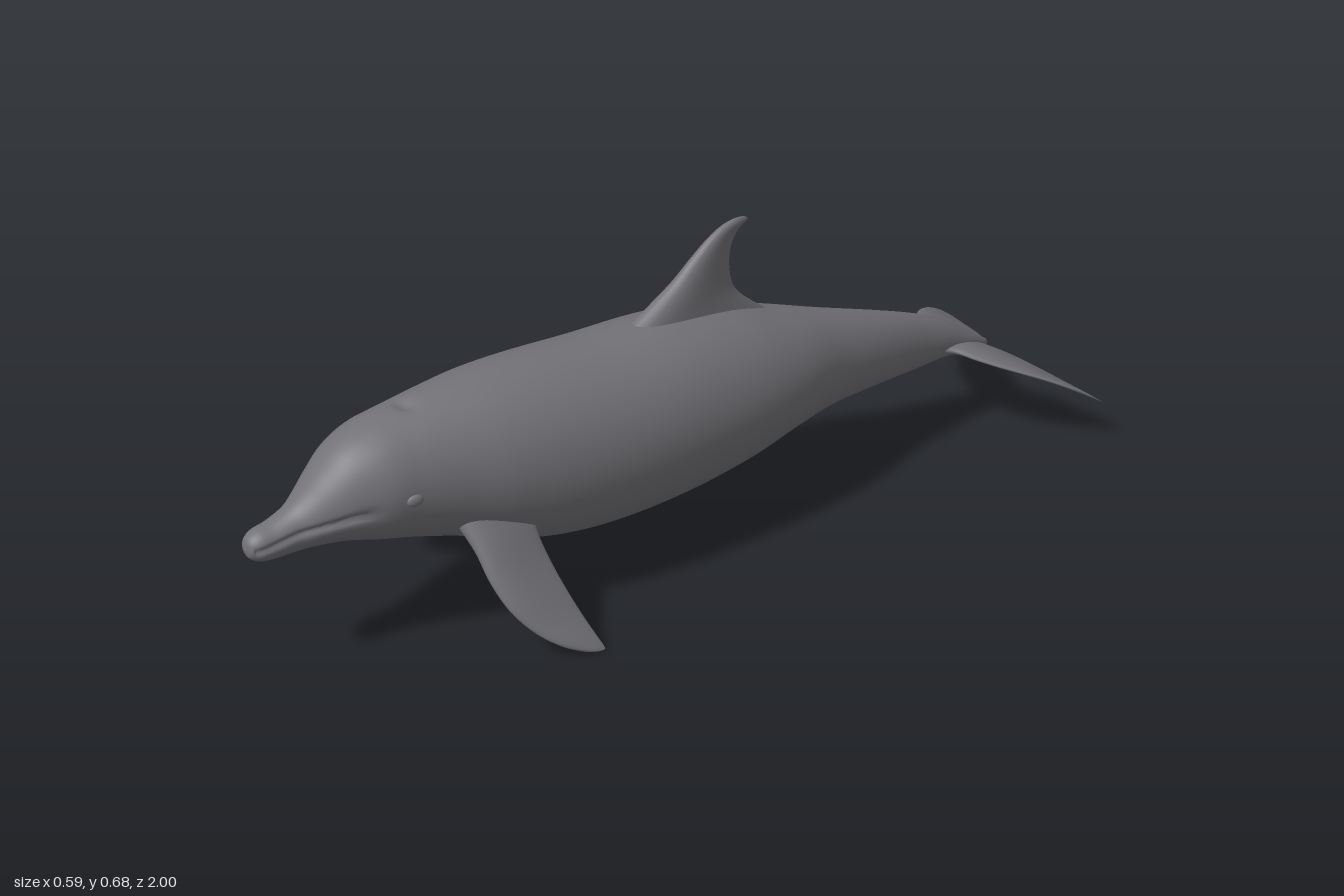
import * as THREE from 'three';

const skin = new THREE.MeshStandardMaterial({ color: 0x737277 });
skin.name = 'grey skin';

// Catmull-Rom through the rows of a table, all columns together
function refine(rows, steps) {
  const out = [];
  const at = (i) => rows[Math.min(Math.max(i, 0), rows.length - 1)];
  for (let i = 0; i < rows.length - 1; i++) {
    for (let s = 0; s < steps; s++) {
      const t = s / steps;
      out.push(rows[i].map((b, k) => {
        const a = at(i - 1)[k], c = at(i + 1)[k], d = at(i + 2)[k];
        return b + 0.5 * t * (c - a + t * (2 * a - 5 * b + 4 * c - d + t * (3 * (b - c) + d - a)));
      }));
    }
  }
  out.push(rows[rows.length - 1]);
  return out;
}

// Closed smooth skin over rings of [x, y, z], with capped ends, facing outward
function loft(name, rings) {
  const n = rings[0].length, pos = rings.flat(2), index = [];
  for (let r = 0; r < rings.length - 1; r++) {
    for (let i = 0; i < n; i++) {
      const a = r * n + i, b = r * n + (i + 1) % n;
      index.push(a, b, a + n, b, b + n, a + n);
    }
  }
  const last = (rings.length - 1) * n;
  for (let i = 1; i < n - 1; i++) {
    index.push(0, i + 1, i, last, last + i, last + i + 1);
  }
  // signed volume tells whether the winding has to be reversed
  const p = (i) => new THREE.Vector3().fromArray(pos, i * 3);
  let volume = 0;
  for (let i = 0; i < index.length; i += 3) {
    volume += p(index[i]).dot(p(index[i + 1]).cross(p(index[i + 2])));
  }
  if (volume < 0) index.reverse();
  const g = new THREE.BufferGeometry();
  g.setAttribute('position', new THREE.Float32BufferAttribute(pos, 3));
  g.setIndex(index);
  g.computeVertexNormals();
  const mesh = new THREE.Mesh(g, skin);
  mesh.name = name;
  return mesh;
}

// Teardrop outline: chord position 0 (leading) to 1 (trailing), and thickness -1 to 1
const foil = Array.from({ length: 28 }, (_, i) => {
  const a = (i / 28) * Math.PI * 2;
  return [(1 - Math.cos(a)) / 2, Math.sin(a) * (0.75 + 0.35 * Math.cos(a))];
});

// Body stations: z, bottom, top, half width
const bodyRows = [
  [1.0, 0.312, 0.318, 0.003], [0.994, 0.296, 0.336, 0.02], [0.975, 0.284, 0.349, 0.032],
  [0.94, 0.28, 0.357, 0.037], [0.9, 0.28, 0.375, 0.042], [0.87, 0.28, 0.4, 0.054],
  [0.835, 0.277, 0.436, 0.07], [0.79, 0.27, 0.475, 0.09], [0.73, 0.253, 0.499, 0.112],
  [0.66, 0.234, 0.511, 0.122], [0.57, 0.205, 0.522, 0.138], [0.47, 0.168, 0.529, 0.16],
  [0.35, 0.13, 0.528, 0.175], [0.2, 0.113, 0.52, 0.181], [0.02, 0.118, 0.515, 0.176],
  [-0.14, 0.14, 0.488, 0.16], [-0.27, 0.168, 0.447, 0.132], [-0.4, 0.18, 0.403, 0.09],
  [-0.55, 0.181, 0.353, 0.061], [-0.66, 0.181, 0.313, 0.043], [-0.74, 0.184, 0.276, 0.035],
  [-0.81, 0.176, 0.23, 0.026], [-0.87, 0.168, 0.188, 0.008],
];

function buildBody() {
  const sides = 72;
  return loft('body', refine(bodyRows, 8).map(([z, low, high, w]) => {
    const mid = (low + high) / 2, h = (high - low) / 2;
    return Array.from({ length: sides }, (_, i) => {
      const a = (i / sides) * Math.PI * 2;
      let x = Math.cos(a) * w, y = mid + Math.sin(a) * h;
      // mouth crease along the beak
      if (z > 0.75 && z < 0.99) {
        const line = 0.318 + (0.98 - z) * 0.2;
        const fade = Math.min(1, (z - 0.75) / 0.05);
        x *= 1 - 0.15 * fade * Math.exp(-(((y - line) / 0.007) ** 2));
      }
      // blowhole dent
      if (y > mid) y -= 0.012 * Math.exp(-((x / 0.022) ** 2) - (((z - 0.635) / 0.014) ** 2));
      return [x, y, z];
    });
  }));
}

// Dorsal fin stations: y, leading z, trailing z, half thickness
function buildDorsalFin() {
  const rows = [
    [0.43, 0.2, -0.28, 0.046], [0.485, 0.15, -0.205, 0.042], [0.53, 0.075, -0.16, 0.035],
    [0.58, 0.0, -0.147, 0.026], [0.625, -0.052, -0.15, 0.019], [0.657, -0.092, -0.167, 0.014],
    [0.676, -0.125, -0.192, 0.01], [0.685, -0.155, -0.182, 0.003],
  ];
  return loft('dorsalFin', refine(rows, 5).map(([y, lead, trail, t]) =>
    foil.map(([c, s]) => [s * t, y, lead + (trail - lead) * c])));
}

// Flipper stations: x, y, leading z, trailing z, half thickness
function buildFlipper(side) {
  const rows = [
    [0.09, 0.28, 0.59, 0.41, 0.036], [0.137, 0.225, 0.573, 0.428, 0.026],
    [0.175, 0.168, 0.564, 0.422, 0.021], [0.212, 0.115, 0.545, 0.41, 0.017],
    [0.245, 0.068, 0.51, 0.396, 0.013], [0.272, 0.033, 0.466, 0.384, 0.01],
    [0.289, 0.011, 0.42, 0.376, 0.006], [0.295, 0.003, 0.39, 0.375, 0.002],
  ];
  const name = side > 0 ? 'leftFlipper' : 'rightFlipper';
  return loft(name, refine(rows, 5).map(([x, y, lead, trail, t]) =>
    foil.map(([c, s]) => [side * (x + s * t * 0.82), y + s * t * 0.57, lead + (trail - lead) * c])));
}

// Fluke stations: x, leading z, trailing z, half thickness; the blade droops toward the back
function buildFlukes() {
  const half = [
    [0, -0.68, -0.868, 0.021], [0.045, -0.738, -0.908, 0.015], [0.09, -0.757, -0.935, 0.012],
    [0.135, -0.782, -0.951, 0.01], [0.175, -0.817, -0.964, 0.008], [0.21, -0.862, -0.978, 0.007],
    [0.238, -0.915, -0.991, 0.005], [0.254, -0.968, -0.998, 0.002],
  ];
  const mirrored = half.slice(1).reverse().map(([x, ...rest]) => [-x, ...rest]);
  return loft('tailFlukes', refine([...mirrored, ...half], 5).map(([x, lead, trail, t]) =>
    foil.map(([c, s]) => {
      const z = lead + (trail - lead) * c, d = -0.72 - z;
      return [x, 0.215 - 0.12 * d - 1.1 * d * d + s * t, z];
    })));
}

// Low eye bulge on the side of the head
function buildEye(side) {
  const eye = new THREE.Mesh(new THREE.SphereGeometry(1, 20, 14), skin);
  eye.name = side > 0 ? 'leftEye' : 'rightEye';
  eye.scale.set(0.008, 0.013, 0.018);
  eye.position.set(side * 0.117, 0.372, 0.69);
  eye.rotation.y = side * -0.15;
  return eye;
}

export function createModel() {
  const model = new THREE.Group();
  model.name = 'dolphin';
  model.add(buildBody(), buildDorsalFin(), buildFlukes());
  for (const side of [1, -1]) model.add(buildFlipper(side), buildEye(side));
  return model;
}
